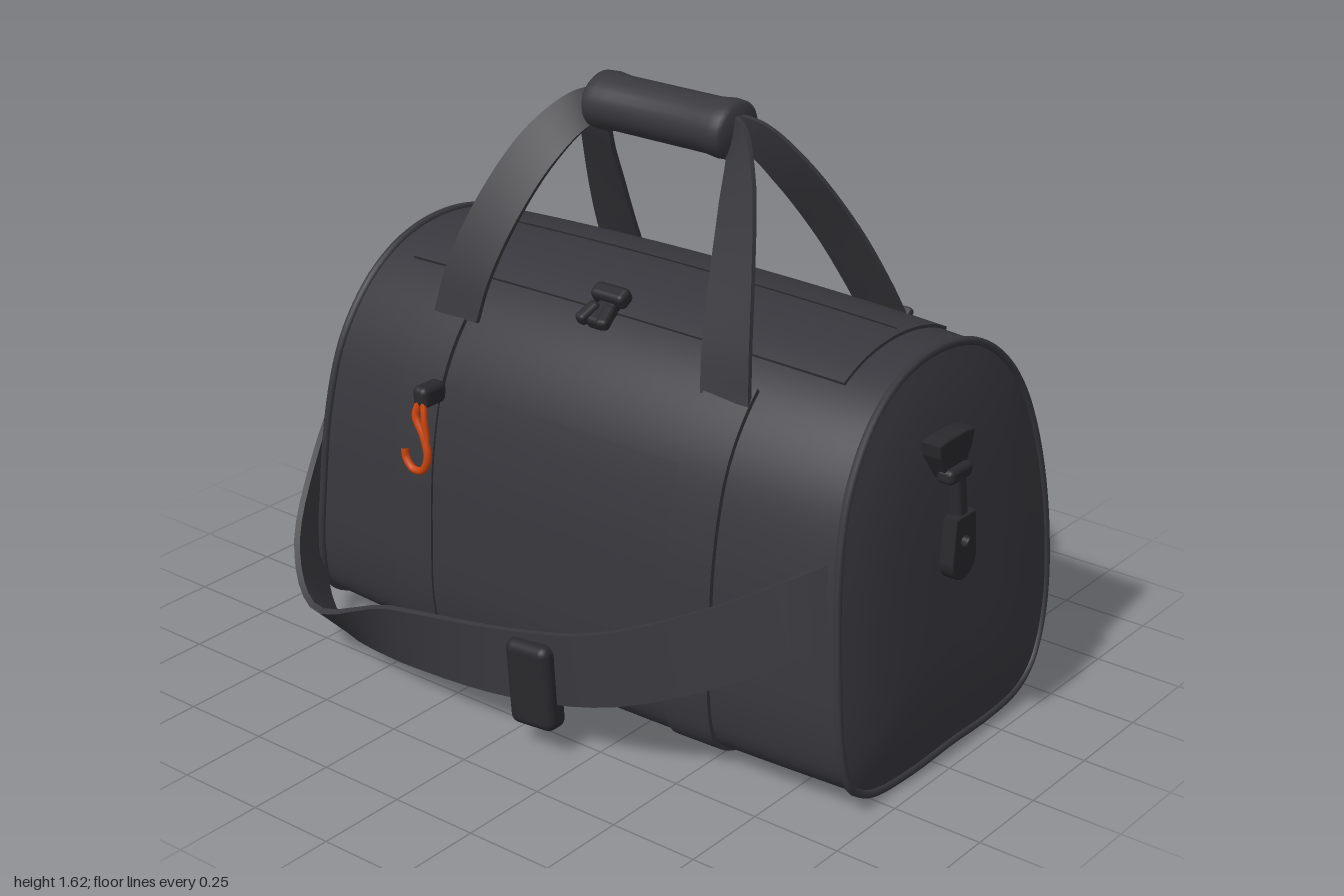
import * as THREE from 'three';
import { toCreasedNormals } from 'three/addons/utils/BufferGeometryUtils.js';
import { RoundedBoxGeometry } from 'three/addons/geometries/RoundedBoxGeometry.js';

const V = (x, y, z) => new THREE.Vector3(x, y, z);
const curve = (pts, closed = false) => new THREE.CatmullRomCurve3(pts.map(p => V(...p)), closed);

// Bag cross-section (z, y): from the top, down the front, along the base, up the back
const section = curve([
  [-.08, 1.115], [.1, 1.085], [.24, 1.0], [.35, .85], [.405, .65], [.425, .4], [.425, .2], [.39, .08], [.28, .022],
  [-.1, .012], [-.42, .022], [-.53, .08], [-.6, .22], [-.62, .4], [-.6, .62], [-.53, .84], [-.43, .98], [-.28, 1.08],
].map(([z, y]) => [0, y, z]), true);
const MID = .03, CY = .5, CZ = -.1;
const halfLength = y => .91 - .08 * y;

// Point on the section at t (0..18), narrowed towards the bag ends (u = -1..1), pushed out by off
function skin(t, u, off = 0) {
  const p = section.getPoint((((t / 18) % 1) + 1) % 1);
  const out = V(0, p.y - CY, p.z - CZ).normalize().multiplyScalar(off);
  p.z = CZ + (p.z - CZ) * (1 - .075 * u * u);
  p.y *= 1 - .02 * u * u;
  return p.add(out);
}

// Surface through a grid of points f(i, j)
function grid(rows, cols, f, crease = .7) {
  const pos = [], idx = [];
  for (let i = 0; i <= rows; i++) for (let j = 0; j <= cols; j++) pos.push(...f(i, j).toArray());
  for (let i = 0; i < rows; i++) for (let j = 0; j < cols; j++) {
    const a = i * (cols + 1) + j, b = a + cols + 1;
    idx.push(a, a + 1, b, b, a + 1, b + 1);
  }
  const g = new THREE.BufferGeometry();
  g.setAttribute('position', new THREE.Float32BufferAttribute(pos, 3));
  g.setIndex(idx);
  return toCreasedNormals(g, crease);
}

// Raised cloth patch lying on the bag
function patch(x0, x1, t0, t1, off) {
  const rows = Math.max(4, Math.ceil((t1 - t0) * 6)), cols = 14;
  return grid(rows + 2, cols + 2, (i, j) => {
    const edge = i === 0 || j === 0 || i === rows + 2 || j === cols + 2;
    const a = THREE.MathUtils.clamp((i - 1) / rows, 0, 1), b = THREE.MathUtils.clamp((j - 1) / cols, 0, 1);
    const x = x0 + (x1 - x0) * b;
    const p = skin(t0 + (t1 - t0) * a, (x - MID) / .87, edge ? -.01 : off);
    p.x = x;
    return p;
  });
}

// Webbing along a path; each side vector points to the edge and its length is half the width
function webbing(path, sides, thick) {
  const c = curve(path), s = curve(sides), n = 48;
  return grid(n, 4, (i, j) => {
    const t = i / n, side = s.getPoint(t);
    const normal = c.getTangent(t).cross(side).normalize().multiplyScalar(thick / 2);
    return c.getPoint(t).addScaledVector(side, [1, -1, -1, 1, 1][j]).addScaledVector(normal, [1, 1, -1, -1, 1][j]);
  });
}

export function createModel() {
  const model = new THREE.Group();
  const mat = (name, color, side = THREE.FrontSide) => new THREE.MeshStandardMaterial({ name, color, side });
  const fabric = mat('charcoal fabric', 0x37373d, THREE.DoubleSide);
  const strapCloth = mat('strap webbing', 0x38383d, THREE.DoubleSide);
  const trim = mat('dark trim', 0x29292d);
  const orange = mat('orange', 0xc8430c);
  const add = (name, geo, m, parent = model) => {
    const mesh = new THREE.Mesh(geo, m);
    mesh.name = name;
    parent.add(mesh);
    return mesh;
  };
  const block = (name, m, size, pos, rot = [0, 0, 0], parent = model) => {
    const mesh = add(name, new RoundedBoxGeometry(...size, 3, Math.min(...size) * .35), m, parent);
    mesh.position.set(...pos);
    mesh.rotation.set(...rot);
    return mesh;
  };

  // Main shell
  add('body', grid(24, 108, (i, j) => {
    const u = i / 12 - 1, p = skin(j / 6, u);
    p.x = MID + u * halfLength(p.y);
    return p;
  }), fabric);

  // Bulging end panels with piped rims
  for (const s of [-1, 1]) {
    const label = s > 0 ? 'left' : 'right';
    add(label + 'EndPanel', grid(10, 108, (i, j) => {
      const r = i / 10, p = skin(j / 6, 1);
      p.y = CY + (p.y - CY) * r;
      p.z = CZ + (p.z - CZ) * r;
      p.x = MID + s * (halfLength(p.y) + .045 * (1 - r ** 4));
      return p;
    }), fabric);
    const rim = [];
    for (let t = 0; t < 18; t += .5) {
      const p = skin(t, 1);
      rim.push([MID + s * halfLength(p.y), p.y, p.z]);
    }
    add(label + 'Piping', new THREE.TubeGeometry(curve(rim, true), 120, .012, 6, true), fabric);
  }

  // Sewn panels and zip
  add('topPanel', patch(-.7, .74, -1.2, 1.4, .007), fabric);
  add('zip', patch(-.68, .72, -.12, -.06, .011), trim);
  add('frontPocket', patch(-.41, .41, 3.2, 7.6, .006), fabric);
  add('backPanel', patch(-.41, .41, 11, 14.8, .006), fabric);

  // Bands around the bag and the carrying straps that rise from them
  const handles = new THREE.Group();
  handles.name = 'handles';
  handles.position.x = .015;
  model.add(handles);
  const ys = [.97, 1.09, 1.25, 1.42, 1.515, 1.535];
  const xs = [.45, .43, .39, .325, .255, .2];
  for (const s of [-1, 1]) {
    add('bodyBand', patch(s * .47 - .07, s * .47 + .07, 1.95, 16.05, .013), strapCloth);
    for (const [name, zs] of [['frontStrap', [.265, .235, .165, .06, -.03, -.08]], ['backStrap', [-.44, -.375, -.285, -.175, -.11, -.08]]]) {
      add(name, webbing(xs.map((x, i) => [s * x, ys[i], zs[i]]),
        [[.075, 0, 0], [.073, .01, 0], [.066, .022, 0], [.052, .034, 0], [.028, .042, 0], [.005, .045, 0]].map(([x, y, z]) => [s * x, y, z]), .014),
      strapCloth, handles);
    }
    // Stitched pads where the rear straps leave the bag
    block('strapPad', strapCloth, [.145, .07, .025], [s * .465, .985, -.435], [-.85, 0, 0]);
  }

  // Padded grip
  const grip = add('grip', new THREE.LatheGeometry([[0, -.23], [.068, -.23], [.078, -.22], [.08, -.19], [.075, -.15], [.075, .15],
    [.08, .19], [.078, .22], [.068, .23], [0, .23]].map(p => new THREE.Vector2(...p)), 28), strapCloth, handles);
  grip.geometry = toCreasedNormals(grip.geometry, .8);
  grip.rotation.z = Math.PI / 2;
  grip.position.set(-.005, 1.535, -.08);
  grip.scale.set(.98, 1, 1.13);

  // Zip puller on top
  const puller = new THREE.Group();
  puller.name = 'zipPuller';
  puller.position.set(.005, 1.07, .165);
  puller.rotation.x = .5;
  model.add(puller);
  block('pullerBase', trim, [.06, .04, .13], [0, 0, 0], [0, 0, 0], puller);
  block('pullerBar', trim, [.11, .045, .05], [0, .02, -.03], [0, 0, 0], puller);
  for (const s of [-1, 1]) block('pullerTab', trim, [.035, .035, .07], [s * .03, .015, .04], [0, s * .2, 0], puller);

  // Clips on both ends
  const tabShape = new THREE.Shape([[-.075, .9], [-.07, .87], [-.03, .8], [.03, .8], [.07, .87], [.075, .9], [.04, .905], [-.04, .905]].map(p => new THREE.Vector2(...p)));
  const hookShape = new THREE.Shape();
  hookShape.absarc(0, .58, .05, Math.PI, 0);
  hookShape.lineTo(.04, .7);
  hookShape.lineTo(-.04, .7);
  const hole = new THREE.Path();
  hole.absellipse(0, .635, .022, .018, 0, Math.PI * 2, true);
  hookShape.holes.push(hole);
  const plate = (shape, depth) => new THREE.ExtrudeGeometry(shape, { depth, bevelSize: .004, bevelThickness: .004, bevelSegments: 2, curveSegments: 14 }).rotateY(Math.PI / 2);
  for (const s of [-1, 1]) {
    const clip = new THREE.Group();
    clip.name = s > 0 ? 'leftClip' : 'rightClip';
    clip.scale.x = s;
    clip.position.set(s > 0 ? 0 : .035, 0, -.03);
    model.add(clip);
    add('clipTab', plate(tabShape, .05), trim, clip).position.x = .905;
    block('clipLoop', trim, [.05, .04, .1], [.955, .81, 0], [0, 0, 0], clip);
    block('clipPost', trim, [.04, .14, .045], [.965, .745, 0], [0, 0, .1], clip);
    add('clipHook', plate(hookShape, .034), trim, clip).position.x = .958;
  }
  block('strapAnchor', trim, [.05, .1, .1], [-.945, .66, .03], [.6, 0, 0]);

  // Shoulder strap hanging round the front, with its buckle
  add('shoulderStrap', webbing(
    [[-.945, .67, .02], [-.975, .55, .14], [-.95, .38, .28], [-.87, .2, .43], [-.7, .105, .54], [-.4, .155, .575],
      [0, .21, .58], [.3, .28, .56], [.58, .405, .5], [.78, .52, .425], [.87, .58, .36]],
    [[0, .03, .035], [0, .04, .045], [.01, .05, .055], [.02, .055, .07], [.01, .05, .06], [-.01, .088, .02],
      [-.012, .095, 0], [-.025, .095, 0], [-.035, .093, 0], [-.03, .094, 0], [-.02, .095, 0]], .018), strapCloth);
  block('strapBuckle', trim, [.145, .24, .075], [.1, .185, .58], [0, 0, .08]);

  // Orange hook on a dark loop
  block('hookMount', trim, [.05, .06, .09], [-.41, .8, .405]);
  add('orangeHook', new THREE.TubeGeometry(curve([[-.41, .8, .435], [-.42, .75, .45], [-.39, .7, .455], [-.372, .645, .46],
    [-.39, .603, .462], [-.425, .598, .462], [-.452, .625, .46], [-.455, .65, .458]]), 36, .011, 8), orange);
  add('hookGate', new THREE.TubeGeometry(curve([[-.4, .79, .44], [-.39, .75, .45], [-.378, .69, .455]]), 12, .009, 8), orange);
  return model;
}
